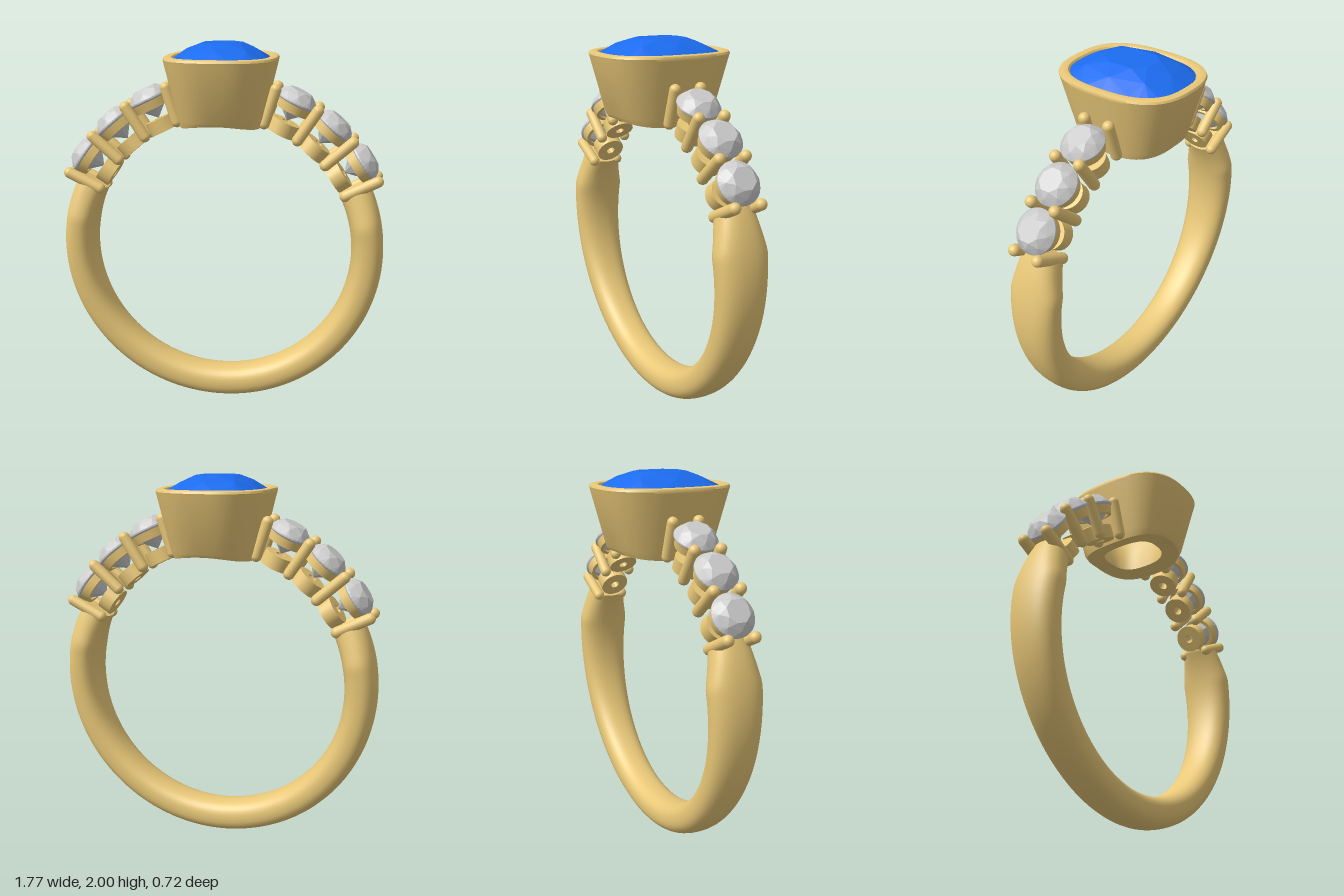
import * as THREE from 'three';
import { toCreasedNormals } from 'three/addons/utils/BufferGeometryUtils.js';
import { ConvexGeometry } from 'three/addons/geometries/ConvexGeometry.js';

const CY = 0.885, INNER = 0.712, OUTER = 0.884; // finger hole centre and band radii
const rad = THREE.MathUtils.degToRad;
const gold = new THREE.MeshStandardMaterial({ color: 0xe9c878 });
const blue = new THREE.MeshStandardMaterial({ color: 0x1c6cf0 });
const grey = new THREE.MeshStandardMaterial({ color: 0xcccccc });

function mesh(name, geometry, material) {
  const m = new THREE.Mesh(geometry, material);
  m.name = name;
  return m;
}

// Point on a superellipse; exponent n = 2 is an ellipse, larger is squarer
function superPoint(t, a, b, n) {
  const f = (v) => Math.sign(v) * Math.pow(Math.abs(v), 2 / n);
  return [a * f(Math.cos(t)), b * f(Math.sin(t))];
}

// Skin a series of closed loops, optionally capping both ends
function loft(loops, capped) {
  const n = loops[0].length, pos = [], idx = [];
  loops.forEach((l) => l.forEach((p) => pos.push(p.x, p.y, p.z)));
  for (let i = 0; i < loops.length - 1; i++) {
    for (let j = 0; j < n; j++) {
      const a = i * n + j, b = i * n + (j + 1) % n;
      idx.push(a, a + n, b, b, a + n, b + n);
    }
  }
  if (capped) {
    const last = (loops.length - 1) * n;
    for (let j = 1; j < n - 1; j++) {
      idx.push(0, j, j + 1, last, last + j + 1, last + j);
    }
  }
  const g = new THREE.BufferGeometry();
  g.setAttribute('position', new THREE.Float32BufferAttribute(pos, 3));
  g.setIndex(idx);
  return toCreasedNormals(g, 0.7);
}

// Open band, widening towards the shoulders and pinched at its ends
function bandGeometry() {
  const loops = [], steps = 120, sides = 32, end = 27;
  const rm = (INNER + OUTER) / 2, depth = (OUTER - INNER) / 2;
  for (let i = 0; i <= steps; i++) {
    const deg = 180 - end + (180 + 2 * end) * i / steps;
    const t = rad(deg), s = Math.sin(t);
    const rise = THREE.MathUtils.radToDeg(Math.asin(s));
    let half = 0.096 + 0.048 * Math.min(1, (CY + 0.8 * s) / 1.05);
    if (rise > 12) half = THREE.MathUtils.lerp(0.144, 0.095, (rise - 12) / (end - 12));
    const loop = [];
    for (let j = 0; j < sides; j++) {
      const [r, z] = superPoint(j / sides * Math.PI * 2, depth, half, 2.4);
      loop.push(new THREE.Vector3((rm + r) * Math.cos(t), CY + (rm + r) * s, z));
    }
    loops.push(loop);
  }
  return loft(loops, true);
}

// Tapered cushion cup; its foot follows the finger hole (y = null)
function bezelGeometry() {
  const profile = [
    [0.13, 0.165, null], [0.18, 0.22, null], [0.212, 0.262, null], [0.228, 0.278, 1.615],
    [0.296, 0.355, 1.91], [0.299, 0.359, 1.922], [0.294, 0.354, 1.933], [0.275, 0.335, 1.938],
    [0.255, 0.315, 1.934], [0.245, 0.305, 1.92], [0.235, 0.295, 1.87], [0.14, 0.175, 1.72],
    [0.13, 0.165, null],
  ];
  const n = 80;
  return loft(profile.map(([a, b, y]) => Array.from({ length: n }, (_, j) => {
    const [x, z] = superPoint(j / n * Math.PI * 2, a, b, 2.7);
    return new THREE.Vector3(x, y ?? CY + Math.sqrt(INNER * INNER - x * x), z);
  })), false);
}

// Faceted stone with its girdle at y = 0
function gemGeometry(a, b, n, crown, depth, table) {
  const points = [new THREE.Vector3(0, -depth, 0)];
  const ring = (count, offset, scale, y) => {
    for (let i = 0; i < count; i++) {
      const [x, z] = superPoint((i + offset) / count * Math.PI * 2, a * scale, b * scale, n);
      points.push(new THREE.Vector3(x, y, z));
    }
  };
  ring(8, 0.5, table, crown);
  ring(8, 0, (1 + table) / 2 + 0.04, crown * 0.58);
  ring(32, 0, 1, 0);
  ring(32, 0, 1, -0.008);
  ring(8, 0.5, 0.55, -depth * 0.52);
  return new ConvexGeometry(points);
}

// Closed turned ring of rectangular section
function collar(inner, outer, low, high, taper = 0) {
  const pts = [[inner, low], [outer - taper, low], [outer, high], [inner, high], [inner, low]];
  const g = new THREE.LatheGeometry(pts.map(([x, y]) => new THREE.Vector2(x, y)), 36);
  g.deleteAttribute('uv');
  return toCreasedNormals(g, 0.7);
}

export function createModel() {
  const model = new THREE.Group();
  model.name = 'ring';
  model.add(mesh('band', bandGeometry(), gold));

  // Centre setting
  model.add(mesh('bezel', bezelGeometry(), gold));
  const centre = mesh('centreStone', gemGeometry(0.247, 0.307, 2.7, 0.075, 0.2, 0.44), blue);
  centre.position.y = 1.925;
  model.add(centre);

  // Shared parts of the shoulder settings, measured outward from the hole centre
  const sideStone = gemGeometry(0.114, 0.114, 2, 0.055, 0.12, 0.55);
  const upperCollar = collar(0.078, 0.108, 0.85, 0.905, 0.01);
  const lowerCollar = collar(0.024, 0.08, 0.716, 0.79);
  const prong = new THREE.CapsuleGeometry(0.03, 0.188, 6, 16);

  // Local +y points outward from the hole centre at the given angle
  const spoke = (name, deg) => {
    const g = new THREE.Group();
    g.name = name;
    g.position.y = CY;
    g.rotation.z = rad(deg - 90);
    model.add(g);
    return g;
  };

  for (const side of ['left', 'right']) {
    const place = (deg) => (side === 'left' ? deg : 180 - deg);
    for (let i = 0; i < 3; i++) {
      const setting = spoke(`${side}Setting${i + 1}`, place(33.8 + i * 15.2));
      const stone = mesh('sideStone', sideStone, grey);
      stone.position.y = 0.912;
      setting.add(stone, mesh('upperCollar', upperCollar, gold), mesh('lowerCollar', lowerCollar, gold));
    }
    for (let i = 0; i < 4; i++) {
      const pair = spoke(`${side}ProngPair${i + 1}`, place(26.2 + i * 15.2));
      for (const z of [-0.074, 0.074]) {
        const p = mesh('prong', prong, gold);
        p.position.set(0, 0.837, z);
        pair.add(p);
      }
    }
  }
  return model;
}
